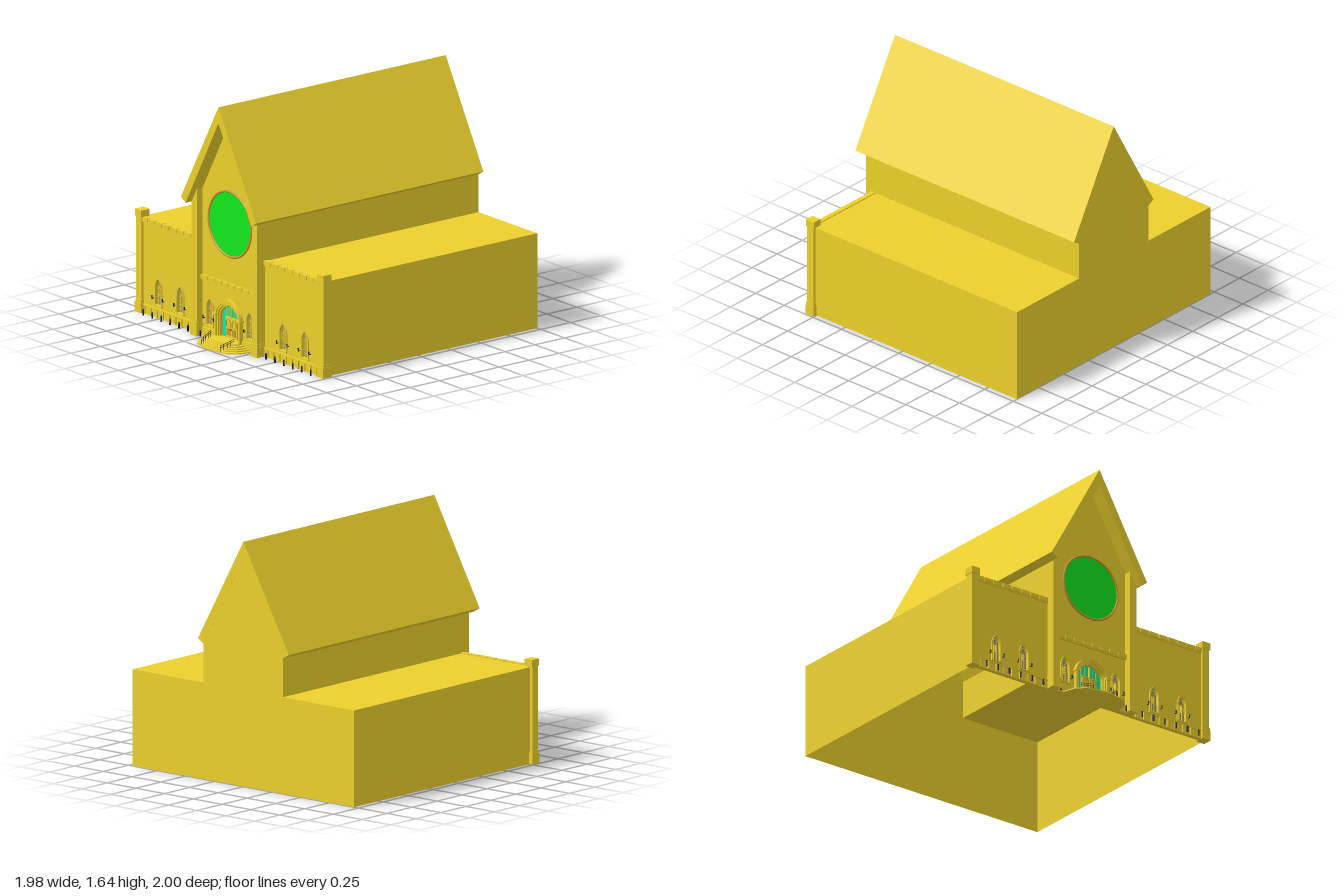
import * as THREE from 'three';

const mat = (color, side = THREE.FrontSide) => new THREE.MeshStandardMaterial({ color, side });
const stone = mat(0xecd02c);
const shell = mat(0xecd02c, THREE.DoubleSide);
const trim = mat(0xc79a2c);
const green = mat(0x12e81c);
const teal = mat(0x10e8a8, THREE.DoubleSide);
const glass = mat(0x99927a, THREE.DoubleSide);
const navy = mat(0x141450);

function add(parent, name, geo, material, x = 0, y = 0, z = 0) {
  const m = new THREE.Mesh(geo, material);
  m.name = name;
  m.position.set(x, y, z);
  parent.add(m);
  return m;
}

// Box given by its limits on each axis
const block = (p, name, x0, x1, y0, y1, z0, z1, material = stone) =>
  add(p, name, new THREE.BoxGeometry(x1 - x0, y1 - y0, z1 - z0), material,
    (x0 + x1) / 2, (y0 + y1) / 2, (z0 + z1) / 2);

const poly = pts => new THREE.Shape(pts.map(p => new THREE.Vector2(...p)));
const extrude = (shape, depth) =>
  new THREE.ExtrudeGeometry(shape, { depth, bevelEnabled: false, curveSegments: 8 });

// Pointed arch outline: half width w, foot y0, springing ys, apex ya
function arch(x, w, y0, ys, ya, Type = THREE.Shape) {
  const s = new Type();
  s.moveTo(x - w, y0);
  s.lineTo(x + w, y0);
  s.lineTo(x + w, ys);
  s.quadraticCurveTo(x + w, ys + (ya - ys) * 0.6, x, ya);
  s.quadraticCurveTo(x - w, ys + (ya - ys) * 0.6, x - w, ys);
  s.closePath();
  return s;
}

// Arch-shaped band of thickness t
function archFrame(x, w, y0, ys, ya, t, depth) {
  const s = arch(x, w, y0, ys, ya);
  s.holes.push(arch(x, w - t, y0 + 0.001, ys, ya - t * 1.2, THREE.Path));
  return extrude(s, depth);
}

// Open wall strip following an outline from z0 to z1
function strip(pts, z0, z1) {
  const v = [];
  for (let i = 0; i < pts.length - 1; i++) {
    const [a, b] = pts[i], [c, d] = pts[i + 1];
    v.push(a, b, z0, a, b, z1, c, d, z1, a, b, z0, c, d, z1, c, d, z0);
  }
  const g = new THREE.BufferGeometry();
  g.setAttribute('position', new THREE.Float32BufferAttribute(v, 3));
  g.computeVertexNormals();
  return g;
}

// Tall lancet with frame, mullions and a small rosette
function windowUnit(parent, x, z) {
  const g = new THREE.Group();
  g.name = 'lancetWindow';
  g.position.set(x, 0, z);
  parent.add(g);
  add(g, 'windowGlass', new THREE.ShapeGeometry(arch(0, 0.034, 0.085, 0.2, 0.268)), glass, 0, 0, -0.018);
  add(g, 'windowFrame', archFrame(0, 0.04, 0.082, 0.2, 0.277, 0.008, 0.022), stone, 0, 0, -0.014);
  for (const mx of [-0.011, 0.011]) block(g, 'mullion', mx - 0.0015, mx + 0.0015, 0.085, 0.205, -0.016, -0.008);
  for (let i = 0; i < 4; i++) block(g, 'glazingBar', -0.032, 0.032, 0.11 + i * 0.027, 0.112 + i * 0.027, -0.016, -0.011);
  add(g, 'rosette', new THREE.TorusGeometry(0.015, 0.002, 6, 16), stone, 0, 0.228, -0.01);
  for (const s of [-1, 1]) add(g, 'smallArch', archFrame(s * 0.016, 0.015, 0.15, 0.19, 0.212, 0.002, 0.006), stone, 0, 0, -0.015);
  block(g, 'windowSill', -0.043, 0.043, 0.076, 0.085, -0.016, 0.012);
}

// Wall lamp
function lamp(parent, x, z) {
  block(parent, 'lampBracket', x - 0.002, x + 0.002, 0.122, 0.126, z, z + 0.014, navy);
  add(parent, 'wallLamp', new THREE.CylinderGeometry(0.005, 0.003, 0.024, 6), navy, x, 0.132, z + 0.015);
}

// Moulded band with a row of separate coping stones
function coping(parent, x0, x1, y0, y1, z0, z1, n) {
  const h = y1 - y0, w = (x1 - x0) / n;
  block(parent, 'copingBand', x0, x1, y0, y0 + h * 0.7, z0, z1 - 0.006);
  for (let i = 0; i < n; i++) {
    block(parent, 'copingStone', x0 + i * w + 0.003, x0 + (i + 1) * w - 0.003, y0 + h * 0.25, y1, z0, z1);
  }
}

function pillar(parent, name, x0, x1, top, z0, z1) {
  const g = new THREE.Group();
  g.name = name;
  parent.add(g);
  block(g, 'shaft', x0, x1, 0, top, z0, z1);
  block(g, 'base', x0 - 0.006, x1 + 0.006, 0, 0.07, z0 - 0.006, z1 + 0.008);
  block(g, 'baseMoulding', x0 - 0.003, x1 + 0.003, 0.07, 0.09, z0 - 0.003, z1 + 0.004);
  return g;
}

export function createModel() {
  const model = new THREE.Group();
  model.name = 'church';

  // Hollow body: side walls, aisle roofs and clerestory
  for (const s of [1, -1]) {
    const pts = [[0.963, 0], [0.963, 0.65], [0.345, 0.65], [0.345, 0.92]].map(p => [p[0] * s, p[1]]);
    add(model, 'sideWallAndAisleRoof', strip(s > 0 ? pts : pts.reverse(), -1, 0.78), shell);
  }
  const half = [[0.963, 0], [0.963, 0.65], [0.345, 0.65], [0.345, 0.915]];
  const mirror = half.map(p => [-p[0], p[1]]).reverse();
  add(model, 'backWall', new THREE.ShapeGeometry(poly([...half, [0, 1.535], ...mirror])), shell, 0, 0, -0.999);

  // Steep nave roof slab
  add(model, 'naveRoof', extrude(poly([[0.345, 0.91], [0.395, 0.94], [0, 1.645],
    [-0.395, 0.94], [-0.345, 0.91], [0, 1.535]]), 1.91), stone, 0, 0, -1);

  // Nave front wall with window and portal openings
  const nave = new THREE.Group();
  nave.name = 'naveFront';
  model.add(nave);
  const wall = poly([[0.345, 0], [0.345, 0.915], [0, 1.535], [-0.345, 0.915], [-0.345, 0]]);
  for (const x of [-0.21, 0.21]) wall.holes.push(arch(x, 0.036, 0.085, 0.2, 0.27, THREE.Path));
  wall.holes.push(arch(0, 0.105, 0.005, 0.18, 0.275, THREE.Path));
  add(nave, 'naveFrontWall', extrude(wall, 0.03), stone, 0, 0, 0.78);
  for (const s of [-1, 1]) {
    windowUnit(nave, s * 0.21, 0.81);
    for (const x of [0.16, 0.268]) lamp(nave, s * x, 0.81);
    const c = s * 0.3175;
    pillar(nave, 'navePilaster', c - 0.0275, c + 0.0275, 0.915, 0.785, 0.86);
    // Pilaster top cut to the roof slope
    add(nave, 'pilasterTop', extrude(poly([[0.29, 0.91], [0.345, 0.91], [0.345, 0.918], [0.29, 1.016]]
      .map(p => [p[0] * s, p[1]])), 0.075), stone, 0, 0, 0.785);
    block(nave, 'naveBaseCourse', Math.min(s * 0.14, s * 0.29), Math.max(s * 0.14, s * 0.29), 0, 0.06, 0.8, 0.822);
  }
  coping(nave, -0.29, 0.29, 0.385, 0.42, 0.8, 0.83, 8);

  // Round window
  add(nave, 'roundWindow', new THREE.CircleGeometry(0.222, 48), green, 0, 0.825, 0.813);
  add(nave, 'roundWindowRing', new THREE.TorusGeometry(0.223, 0.008, 8, 48), trim, 0, 0.825, 0.813);

  // Portal: stepped arches, glazing and double door
  const portal = new THREE.Group();
  portal.name = 'portal';
  model.add(portal);
  add(portal, 'outerArch', archFrame(0, 0.135, 0, 0.19, 0.315, 0.018, 0.035), stone, 0, 0, 0.805);
  add(portal, 'middleArch', archFrame(0, 0.119, 0, 0.185, 0.296, 0.012, 0.025), stone, 0, 0, 0.805);
  add(portal, 'innerArch', archFrame(0, 0.109, 0, 0.18, 0.282, 0.009, 0.03), stone, 0, 0, 0.785);
  add(portal, 'portalGlass', new THREE.ShapeGeometry(arch(0, 0.103, 0.005, 0.18, 0.272)), teal, 0, 0, 0.79);
  for (const s of [-1, 1]) {
    add(portal, 'archCapital', new THREE.BoxGeometry(0.034, 0.016, 0.045), stone, s * 0.126, 0.19, 0.825);
    add(portal, 'doorLeaf', new THREE.BoxGeometry(0.056, 0.135, 0.01), stone, s * 0.03, 0.105, 0.796);
    add(portal, 'doorPanel', new THREE.BoxGeometry(0.036, 0.045, 0.004), trim, s * 0.03, 0.08, 0.802);
    add(portal, 'doorArch', archFrame(s * 0.03, 0.022, 0.115, 0.145, 0.17, 0.004, 0.005), trim, 0, 0, 0.8);
    add(portal, 'doorHandle', new THREE.SphereGeometry(0.004, 8, 6), navy, s * 0.007, 0.1, 0.805);
    for (const x of [0.062, 0.03]) add(portal, 'glazingBar', new THREE.BoxGeometry(0.003, 0.2 + (0.062 - x) * 1.0, 0.006), stone, s * x, 0.135, 0.792);
  }
  block(portal, 'doorTransom', -0.064, 0.064, 0.172, 0.179, 0.786, 0.803);
  block(portal, 'doorCentrePost', -0.002, 0.002, 0.04, 0.255, 0.788, 0.803);

  // Fan-shaped steps
  const fan = [[0.24, 0], [0.21, 0.11], [0.15, 0.17], [0, 0.195], [-0.15, 0.17], [-0.21, 0.11], [-0.24, 0]];
  for (let i = 0; i < 5; i++) {
    const k = 1 - i * 0.1;
    const g = extrude(poly(fan.map(p => [p[0] * k, -p[1] * k]).reverse()), 0.008);
    g.rotateX(-Math.PI / 2);
    add(model, 'step', g, stone, 0, i * 0.008, 0.8);
  }

  // Handrails on the steps
  for (const s of [-1, 1]) {
    const lo = new THREE.Vector3(s * 0.1, 0.045, 0.975), hi = new THREE.Vector3(s * 0.125, 0.08, 0.875);
    for (const dy of [0, -0.014]) {
      const path = new THREE.LineCurve3(lo.clone().setY(lo.y + dy), hi.clone().setY(hi.y + dy));
      add(model, 'handrail', new THREE.TubeGeometry(path, 1, 0.0015, 5), navy);
    }
    for (let i = 0; i < 5; i++) {
      const p = lo.clone().lerp(hi, i / 4);
      add(model, 'railPost', new THREE.CylinderGeometry(0.0015, 0.0015, 0.045, 5), navy, p.x, p.y - 0.0225, p.z);
    }
  }

  // Wing fronts on either side
  for (const s of [-1, 1]) {
    const wing = new THREE.Group();
    wing.name = s > 0 ? 'leftWing' : 'rightWing';
    model.add(wing);
    const a = Math.min(s * 0.345, s * 0.95), b = Math.max(s * 0.345, s * 0.95);
    const front = poly([[a, 0], [b, 0], [b, 0.65], [a, 0.65]]);
    for (const x of [0.54, 0.77]) front.holes.push(arch(s * x, 0.036, 0.085, 0.2, 0.27, THREE.Path));
    add(wing, 'wingWall', extrude(front, 0.02), stone, 0, 0, 0.775);
    for (const x of [0.54, 0.77]) {
      windowUnit(wing, s * x, 0.795);
      for (const d of [-0.055, 0.055]) lamp(wing, s * (x + d), 0.795);
    }
    coping(wing, a, b, 0.62, 0.657, 0.775, 0.808, 8);

    // Plinth with small buttresses
    block(wing, 'plinth', a, b, 0, 0.055, 0.785, 0.803);
    block(wing, 'plinthMoulding', a, b, 0.055, 0.064, 0.785, 0.809);
    for (let i = 0; i < 9; i++) {
      const x = s * (0.385 + i * 0.065);
      block(wing, 'plinthButtress', x - 0.006, x + 0.006, 0, 0.055, 0.785, 0.812);
    }

    // Corner pillar with square cap
    const c = s * 0.9575;
    const corner = pillar(wing, 'cornerPillar', c - 0.0275, c + 0.0275, 0.66, 0.758, 0.814);
    block(corner, 'cap', c - 0.033, c + 0.033, 0.656, 0.703, 0.75, 0.82);

    // Bollards
    for (let i = 0; i < 6; i++) {
      const x = s * (0.41 + i * 0.094);
      add(wing, 'bollard', new THREE.CylinderGeometry(0.005, 0.006, 0.036, 8), navy, x, 0.018, 0.838);
      add(wing, 'bollardTop', new THREE.SphereGeometry(0.006, 8, 6), navy, x, 0.037, 0.838);
    }
    add(wing, 'bollard', new THREE.CylinderGeometry(0.005, 0.006, 0.04, 8), navy, s * 0.272, 0.02, 0.845);
  }
  return model;
}
